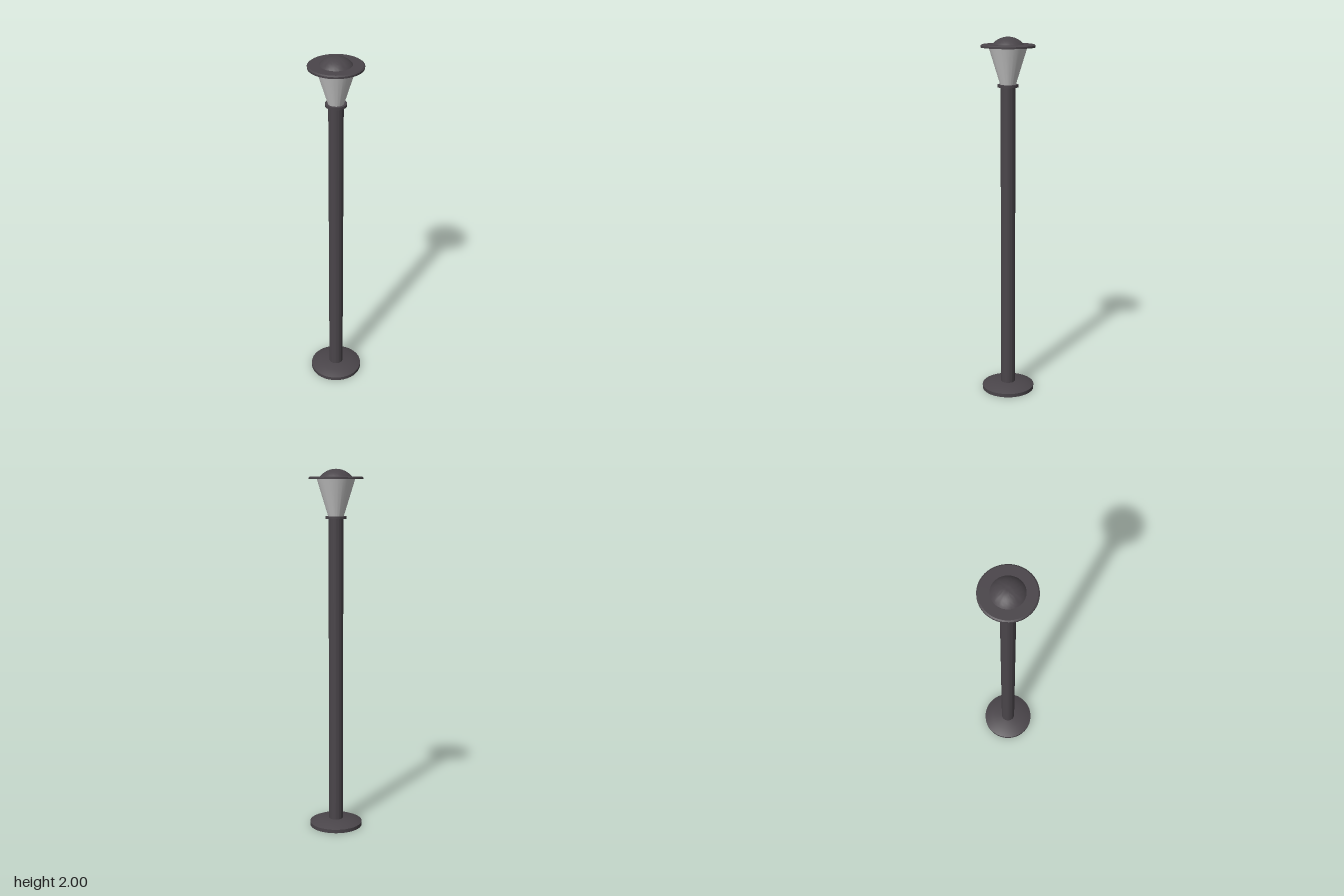
import * as THREE from 'three';
import { toCreasedNormals } from 'three/addons/utils/BufferGeometryUtils.js';

const metal = new THREE.MeshStandardMaterial({ color: 0x4a454a });
const glass = new THREE.MeshStandardMaterial({ color: 0xcccccc });

// Turned part from [radius, height] pairs, bottom to top
function turned(name, profile, material) {
  const points = profile.map(([r, y]) => new THREE.Vector2(r, y));
  const geometry = toCreasedNormals(new THREE.LatheGeometry(points, 48), 0.45);
  const mesh = new THREE.Mesh(geometry, material);
  mesh.name = name;
  return mesh;
}

export function createModel() {
  const lamp = new THREE.Group();
  lamp.name = 'bollardLamp';

  // Foot plate with a sloped upper edge
  lamp.add(turned('base', [[0, 0], [0.147, 0], [0.147, 0.02], [0.1, 0.04], [0, 0.04]], metal));

  // Straight post
  lamp.add(turned('post', [[0, 0.03], [0.04, 0.03], [0.04, 1.74], [0, 1.74]], metal));

  // Thin ring below the glass
  lamp.add(turned('collar', [[0, 1.735], [0.057, 1.735], [0.057, 1.749], [0, 1.749]], metal));

  // Flared glass shade
  lamp.add(turned('shade', [[0, 1.745], [0.041, 1.745], [0.104, 1.949], [0, 1.949]], glass));

  // Wide disc with a slightly bevelled upper rim
  lamp.add(turned('capDisc',
    [[0, 1.945], [0.146, 1.945], [0.146, 1.955], [0.139, 1.96], [0, 1.96]], metal));

  // Shallow spherical dome on top of the disc
  const domeRadius = 0.087, rise = 0.042;
  const sphere = (domeRadius ** 2 + rise ** 2) / (2 * rise);
  const span = Math.asin(domeRadius / sphere);
  const dome = [];
  for (let i = 0; i <= 10; i++) {
    const a = span * (1 - i / 10);
    dome.push([sphere * Math.sin(a), 2 - sphere + sphere * Math.cos(a)]);
  }
  lamp.add(turned('capDome', dome, metal));

  return lamp;
}
